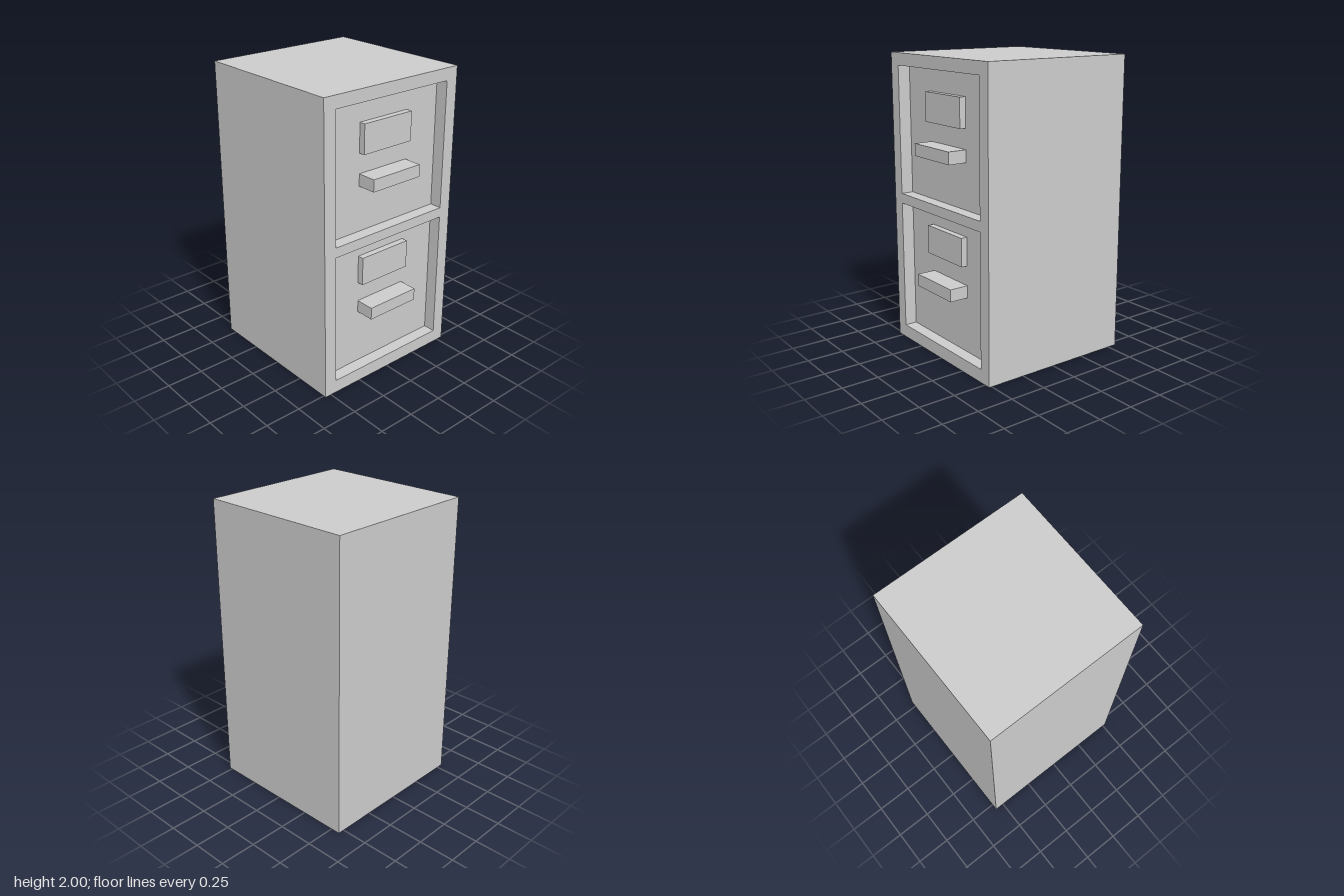
import * as THREE from 'three';

const material = new THREE.MeshStandardMaterial({ color: 0xcccccc, flatShading: true });

const BACK = -0.565, FRONT = 0.52, PANEL = 0.435; // x of the back, face frame and drawer panels
const HALF = 0.545, HEIGHT = 2;

// Box given by its limits along each axis
function block(name, [x0, x1], [y0, y1], [z0, z1]) {
  const mesh = new THREE.Mesh(new THREE.BoxGeometry(x1 - x0, y1 - y0, z1 - z0), material);
  mesh.position.set((x0 + x1) / 2, (y0 + y1) / 2, (z0 + z1) / 2);
  mesh.name = name;
  return mesh;
}

// Adds a rectangle to a Shape or Path
function rect(path, x0, x1, y0, y1) {
  path.moveTo(x0, y0);
  path.lineTo(x1, y0);
  path.lineTo(x1, y1);
  path.lineTo(x0, y1);
  path.closePath();
  return path;
}

export function createModel() {
  const cabinet = new THREE.Group();
  cabinet.name = 'filingCabinet';

  // Heights of each drawer's opening, label holder and handle
  const drawers = [
    { name: 'lowerDrawer', opening: [0.09, 0.982], label: [0.683, 0.875], handle: [0.467, 0.55] },
    { name: 'upperDrawer', opening: [1.05, 1.917], label: [1.57, 1.765], handle: [1.355, 1.437] },
  ];

  // Solid carcass behind the drawer panels
  cabinet.add(block('carcass', [BACK, PANEL], [0, HEIGHT], [-HALF, HALF]));

  // Face frame with one opening per drawer, turned to face +x
  const outline = rect(new THREE.Shape(), -HALF, HALF, 0, HEIGHT);
  for (const { opening } of drawers) {
    outline.holes.push(rect(new THREE.Path(), -0.457, 0.457, ...opening));
  }
  const frameGeometry = new THREE.ExtrudeGeometry(outline, { depth: FRONT - PANEL, bevelEnabled: false });
  frameGeometry.rotateY(Math.PI / 2);
  const frame = new THREE.Mesh(frameGeometry, material);
  frame.position.x = PANEL;
  frame.name = 'faceFrame';
  cabinet.add(frame);

  // Drawer fittings: label holder and projecting handle
  const width = [-0.195, 0.197];
  for (const { name, label, handle } of drawers) {
    const drawer = new THREE.Group();
    drawer.name = name;
    drawer.add(
      block('labelHolder', [PANEL, 0.478], label, width),
      block('handle', [PANEL, 0.565], handle, width),
    );
    cabinet.add(drawer);
  }
  return cabinet;
}
